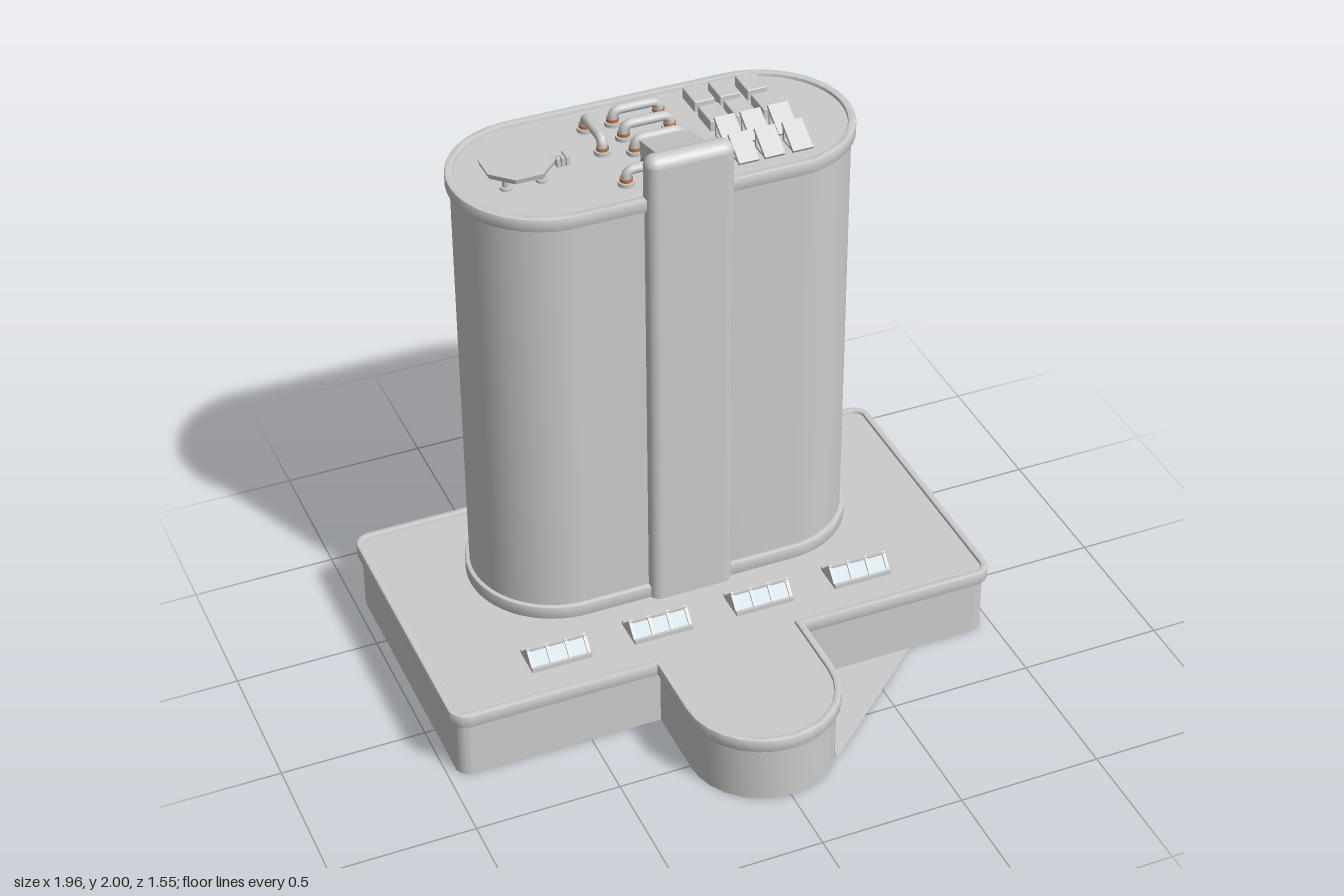
import * as THREE from 'three';
import { toCreasedNormals } from 'three/addons/utils/BufferGeometryUtils.js';
import { RoundedBoxGeometry } from 'three/addons/geometries/RoundedBoxGeometry.js';

const grey = new THREE.MeshStandardMaterial({ color: 0xcccccc });
const sheet = new THREE.MeshStandardMaterial({ color: 0xcccccc, side: THREE.DoubleSide });
const glass = new THREE.MeshStandardMaterial({ color: 0xb9c6cf });
const copper = new THREE.MeshStandardMaterial({ color: 0xb87850 });

function add(parent, name, geometry, x = 0, y = 0, z = 0, material = grey) {
  const mesh = new THREE.Mesh(geometry, material);
  mesh.name = name;
  mesh.position.set(x, y, z);
  parent.add(mesh);
  return mesh;
}

function group(parent, name, x = 0, y = 0, z = 0) {
  const g = new THREE.Group();
  g.name = name;
  g.position.set(x, y, z);
  parent.add(g);
  return g;
}

// Extrude a plan (shape y = -z) upwards from y = 0
function rise(shape, height, segments, bevel = 0) {
  const geo = new THREE.ExtrudeGeometry(shape, {
    depth: height - 2 * bevel, curveSegments: segments, bevelEnabled: bevel > 0,
    bevelSize: bevel, bevelOffset: -bevel, bevelThickness: bevel, bevelSegments: 2,
  });
  geo.translate(0, 0, bevel).rotateX(-Math.PI / 2);
  return toCreasedNormals(geo, 0.6);
}

// Podium plan: rounded rectangle with a round-ended lobe, grown by d
function podiumPlan(d) {
  const x = 0.965 + d, back = 0.76 + d, front = -0.25 - d, w = 0.25 + d, r = 0.045 + d;
  const s = new THREE.Shape();
  s.moveTo(w, front);
  s.lineTo(x - r, front);
  s.absarc(x - r, front + r, r, -Math.PI / 2, 0);
  s.absarc(x - r, back - r, r, 0, Math.PI / 2);
  s.absarc(-x + r, back - r, r, Math.PI / 2, Math.PI);
  s.absarc(-x + r, front + r, r, Math.PI, Math.PI * 1.5);
  s.lineTo(-w, front);
  s.absarc(0, -0.505, w, Math.PI, Math.PI * 2);
  s.closePath();
  return s;
}

// Tower plan: a stadium, grown by d
function towerPlan(d) {
  const s = new THREE.Shape();
  s.absarc(0.378, 0.382, 0.293 + d, -Math.PI / 2, Math.PI / 2);
  s.absarc(-0.378, 0.382, 0.293 + d, Math.PI / 2, Math.PI * 1.5);
  s.closePath();
  return s;
}

function ring(plan, outer, inner) {
  const s = plan(outer);
  s.holes.push(plan(inner));
  return s;
}

// Bent roof pipe between two feet, along x or z
function pipe(parent, x0, z0, x1, z1, top) {
  const g = group(parent, 'roofPipe');
  const a = new THREE.Vector3(x0, 1.83, z0), b = new THREE.Vector3(x1, 1.83, z1);
  const step = b.clone().sub(a).normalize().multiplyScalar(0.03);
  const aTop = a.clone().setY(top), bTop = b.clone().setY(top);
  const path = new THREE.CurvePath();
  const aLow = aTop.clone().setY(top - 0.03), bLow = bTop.clone().setY(top - 0.03);
  const aIn = aTop.clone().add(step), bIn = bTop.clone().sub(step);
  path.add(new THREE.LineCurve3(a, aLow));
  path.add(new THREE.QuadraticBezierCurve3(aLow, aTop, aIn));
  path.add(new THREE.LineCurve3(aIn, bIn));
  path.add(new THREE.QuadraticBezierCurve3(bIn, bTop, bLow));
  path.add(new THREE.LineCurve3(bLow, b));
  add(g, 'pipeTube', new THREE.TubeGeometry(path, 40, 0.017, 10));
  for (const p of [a, b]) {
    add(g, 'pipeFlange', new THREE.CylinderGeometry(0.028, 0.028, 0.014, 14), p.x, 1.848, p.z);
    add(g, 'pipeCollar', new THREE.CylinderGeometry(0.021, 0.021, 0.012, 14), p.x, 1.86, p.z, copper);
  }
}

// Gabled skylight with ribs
function skylight(parent, x) {
  const g = group(parent, 'skylight', x, 0.255, 0.08);
  const gable = (half, height, width) => {
    const s = new THREE.Shape([[-half, 0], [half, 0], [0, height]].map(p => new THREE.Vector2(...p)));
    return new THREE.ExtrudeGeometry(s, { depth: width, bevelEnabled: false })
      .translate(0, 0, -width / 2).rotateY(Math.PI / 2);
  };
  add(g, 'skylightGlass', gable(0.051, 0.05, 0.2), 0, 0, 0, glass);
  for (let i = 0; i < 4; i++) add(g, 'skylightRib', gable(0.058, 0.06, 0.011), -0.1 + i * 0.0667);
  add(g, 'skylightRidge', new THREE.BoxGeometry(0.208, 0.009, 0.012), 0, 0.053, 0);
  for (const s of [-1, 1]) add(g, 'skylightSill', new THREE.BoxGeometry(0.211, 0.016, 0.01), 0, 0.008, s * 0.053);
}

// Tilted panel, low at the front, on a rear frame
function panel(parent, x, z) {
  const g = group(parent, 'tiltedPanel', x, 1.838, z);
  const p = add(g, 'panelSlab', new THREE.BoxGeometry(0.07, 0.012, 0.107), 0, 0.037, 0);
  p.rotation.x = 0.58;
  for (const s of [-1, 1]) {
    add(g, 'panelLeg', new THREE.BoxGeometry(0.009, 0.062, 0.009), s * 0.027, 0.03, -0.038);
    add(g, 'panelFoot', new THREE.BoxGeometry(0.009, 0.008, 0.085), s * 0.027, 0.005, 0);
  }
}

export function createModel() {
  const model = new THREE.Group();
  model.name = 'towerBuilding';

  // Podium
  const podium = group(model, 'podium');
  add(podium, 'podiumBody', rise(podiumPlan(0), 0.254, 7));
  add(podium, 'podiumRim', rise(ring(podiumPlan, 0.017, -0.008), 0.05, 7, 0.006), 0, 0.215, 0);
  const flap = new THREE.Shape([[0.2, -0.25], [0.68, -0.25], [0.22, -0.65]].map(p => new THREE.Vector2(...p)));
  add(podium, 'baseSheet', new THREE.ShapeGeometry(flap).rotateX(-Math.PI / 2), 0, 0.001, 0, sheet);
  for (const x of [-0.553, -0.188, 0.183, 0.548]) skylight(podium, x);

  // Tower with foot and parapet
  const tower = group(model, 'tower');
  add(tower, 'towerBody', rise(towerPlan(0), 1.59, 24), 0, 0.25, 0);
  add(tower, 'towerFoot', rise(towerPlan(0.015), 0.052, 24, 0.005), 0, 0.25, 0);
  add(tower, 'towerParapet', rise(ring(towerPlan, 0.015, -0.012), 0.046, 24, 0.005), 0, 1.806, 0);
  add(tower, 'frontPylon', new RoundedBoxGeometry(0.3, 1.79, 0.078, 4, 0.037), 0, 1.105, -0.089);

  // Roof equipment
  const roof = group(model, 'roofEquipment');
  const profile = new THREE.Shape([[0.1, 1.835], [0.265, 1.86], [0.272, 1.942], [0.12, 1.976]].map(p => new THREE.Vector2(...p)));
  const housing = new THREE.ExtrudeGeometry(profile, { depth: 0.172, bevelEnabled: false });
  add(roof, 'plantHousing', housing.translate(0, 0, -0.086).rotateY(Math.PI / 2), -0.003, 0, 0);
  pipe(roof, -0.165, -0.2, -0.05, -0.2, 1.893);
  add(roof, 'housingCollar', new THREE.CylinderGeometry(0.024, 0.024, 0.014, 14).rotateZ(Math.PI / 2), -0.098, 1.893, -0.2, copper);
  for (const z of [-0.55, -0.455, -0.36]) pipe(roof, -0.07, z, 0.09, z, 1.893);
  pipe(roof, -0.165, -0.55, -0.165, -0.4, 1.893);

  // Octagonal tank lid on legs with a side vent
  const tank = group(roof, 'octagonalUnit', -0.46, 1.84, -0.385);
  const lid = new THREE.CylinderGeometry(0.123, 0.118, 0.018, 8).rotateY(Math.PI / 8);
  add(tank, 'unitLid', toCreasedNormals(lid, 0.3), 0, 0.05, 0);
  add(tank, 'unitDish', toCreasedNormals(new THREE.CylinderGeometry(0.118, 0.085, 0.012, 8).rotateY(Math.PI / 8), 0.3), 0, 0.035, 0);
  for (const sx of [-1, 1]) for (const sz of [-1, 1]) {
    add(tank, 'unitLeg', new THREE.CylinderGeometry(0.012, 0.012, 0.04, 10), sx * 0.06, 0.018, sz * 0.06);
    add(tank, 'unitLegFoot', new THREE.CylinderGeometry(0.02, 0.02, 0.01, 10), sx * 0.06, 0.005, sz * 0.06);
  }
  add(tank, 'unitArm', new THREE.BoxGeometry(0.05, 0.012, 0.02), 0.125, 0.04, 0);
  for (let i = 0; i < 3; i++) add(tank, 'unitVent', new THREE.BoxGeometry(0.012, 0.03, 0.05), 0.132 + i * 0.016, 0.025, 0);

  // Grid of low boxes behind and tilted panels in front
  for (const x of [0.238, 0.328, 0.425]) {
    for (const z of [-0.565, -0.437]) add(roof, 'ventBox', new RoundedBoxGeometry(0.072, 0.04, 0.104, 1, 0.004), x, 1.858, z);
    for (const z of [-0.315, -0.204]) panel(roof, x, z);
  }
  return model;
}
